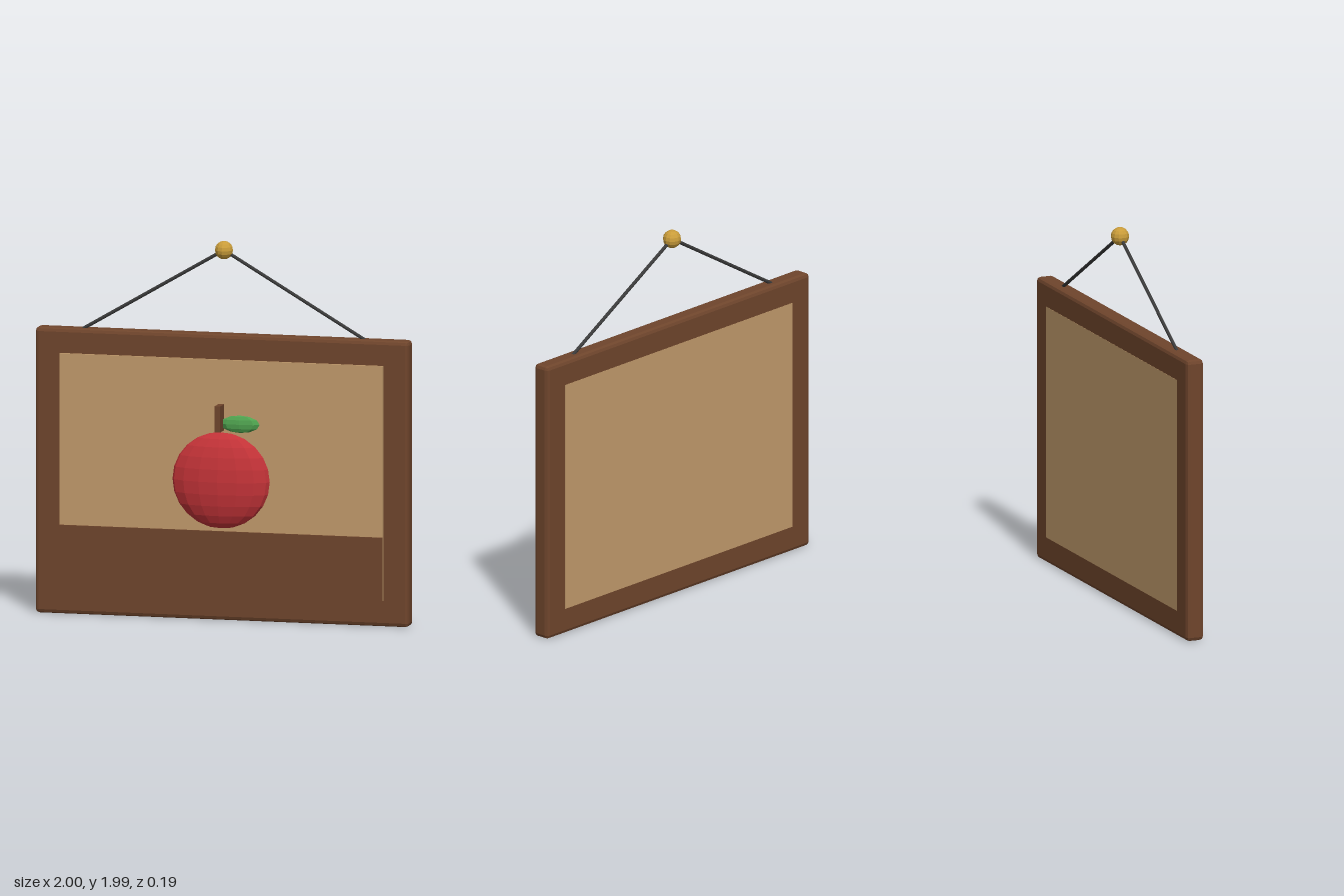
import * as THREE from 'three';
import { RoundedBoxGeometry } from 'three/addons/geometries/RoundedBoxGeometry.js';

const material = (name, color) =>
  new THREE.MeshStandardMaterial({ name, color, flatShading: true });

export function createModel() {
  const group = new THREE.Group();
  group.name = 'hangingFruitPicture';

  const wood = material('brown wood', 0x6f452c);
  const canvas = material('tan canvas', 0xc19a6b);
  const red = material('apple red', 0xc43338);
  const green = material('leaf green', 0x4fa34f);
  const cord = material('dark cord', 0x3a3a3a);
  const brass = material('brass', 0xc99c3a);

  const add = (name, geometry, mat, x, y, z) => {
    const mesh = new THREE.Mesh(geometry, mat);
    mesh.name = name;
    mesh.position.set(x, y, z);
    group.add(mesh);
    return mesh;
  };

  // Box given by its limits on each axis
  const box = (name, mat, x0, x1, y0, y1, z0, z1) =>
    add(name, new THREE.BoxGeometry(x1 - x0, y1 - y0, z1 - z0), mat,
      (x0 + x1) / 2, (y0 + y1) / 2, (z0 + z1) / 2);

  // Squashed low-poly sphere
  const ellipsoid = (name, mat, center, radii, columns, rows) =>
    add(name, new THREE.SphereGeometry(1, columns, rows).scale(...radii), mat, ...center);

  // Board with chamfered edges
  add('frame', new RoundedBoxGeometry(2, 1.5, 0.096, 1, 0.02), wood, 0, 0.75, -0.048);

  // Canvas runs through the frame and shows on both faces
  box('canvas', canvas, -0.865, 0.865, 0.137, 1.37, -0.097, 0.012);
  box('table', wood, -0.865, 0.865, 0.137, 0.47, 0.012, 0.021);

  // Fruit in relief
  ellipsoid('apple', red, [0, 0.737, 0], [0.267, 0.255, 0.095], 16, 12);
  box('stem', wood, -0.015, 0.015, 1.0, 1.137, 0.01, 0.093);
  ellipsoid('leaf', green, [0.105, 1.038, 0.028], [0.105, 0.046, 0.022], 8, 6);

  // Hanging cord, one half on each side of the knob
  const top = new THREE.Vector3(0, 1.937, -0.048);
  for (const side of [-1, 1]) {
    const end = new THREE.Vector3(side * 0.755, 1.495, -0.048);
    const path = new THREE.LineCurve3(end, top);
    add(side > 0 ? 'leftCord' : 'rightCord',
      new THREE.TubeGeometry(path, 1, 0.009, 8), cord, 0, 0, 0);
  }
  ellipsoid('knob', brass, top.toArray(), [0.048, 0.048, 0.048], 12, 8);

  return group;
}
